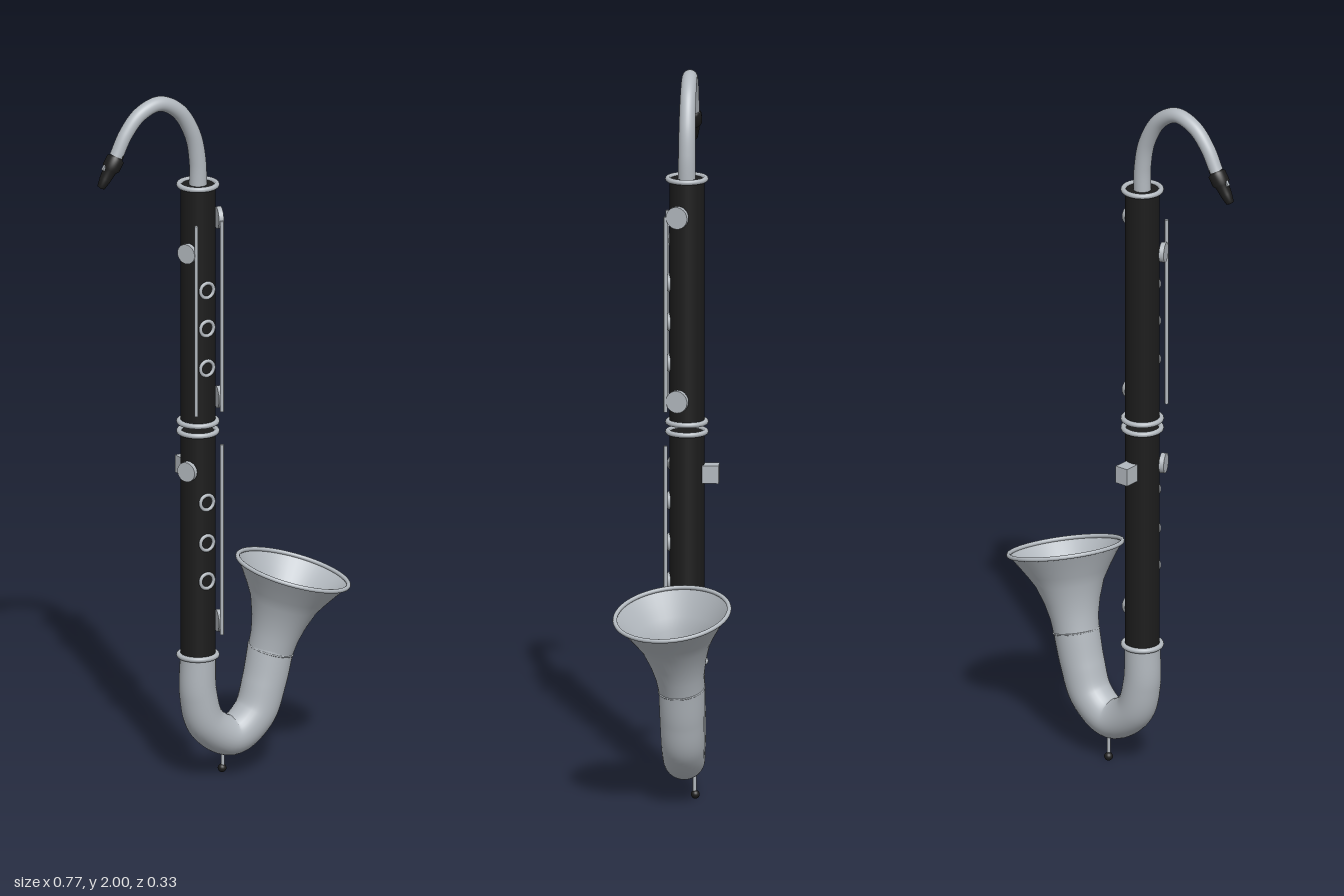
import * as THREE from 'three';

const silver = new THREE.MeshStandardMaterial({ color: 0xb2b8be, side: THREE.DoubleSide });
silver.name = 'silver';
const black = new THREE.MeshStandardMaterial({ color: 0x1c1c1c });
black.name = 'black';

const X = -0.063, Z = -0.023; // axis of the straight body
const UP = new THREE.Vector3(0, 1, 0);

export function createModel() {
  const group = new THREE.Group();

  const add = (name, geometry, material, x = 0, y = 0, z = 0) => {
    const mesh = new THREE.Mesh(geometry, material);
    mesh.name = name;
    mesh.position.set(x, y, z);
    group.add(mesh);
    return mesh;
  };
  const aim = (mesh, dir) => mesh.quaternion.setFromUnitVectors(UP, dir.clone().normalize());
  const lathe = (points) =>
    new THREE.LatheGeometry(points.map(([r, y]) => new THREE.Vector2(r, y)), 48);

  // Tube along a path in the XY plane whose radius changes from r0 to r1
  const taperedTube = (points, r0, r1) => {
    const curve = new THREE.CatmullRomCurve3(points.map(([x, y]) => new THREE.Vector3(x, y, Z)));
    const rings = 64, sides = 32;
    const geometry = new THREE.TubeGeometry(curve, rings, 1, sides);
    const pos = geometry.attributes.position;
    const v = new THREE.Vector3();
    for (let i = 0; i <= rings; i++) {
      const c = curve.getPointAt(i / rings);
      const r = THREE.MathUtils.lerp(r0, r1, i / rings);
      for (let j = 0; j <= sides; j++) {
        const k = i * (sides + 1) + j;
        v.fromBufferAttribute(pos, k).sub(c).multiplyScalar(r).add(c);
        pos.setXYZ(k, v.x, v.y, v.z);
      }
    }
    return geometry;
  };

  // Two body joints, each with a ring at both ends
  for (const [name, y0, y1] of [['lowerJoint', 0.365, 1.012], ['upperJoint', 1.04, 1.724]]) {
    add(name, new THREE.CylinderGeometry(0.048, 0.048, y1 - y0, 40), black, X, (y0 + y1) / 2, Z);
    for (const y of [y0, y1]) {
      add('jointRing', new THREE.TorusGeometry(0.052, 0.0075, 12, 48), silver, X, y, Z)
        .rotation.x = Math.PI / 2;
    }
  }

  // Curved neck
  add('neck', taperedTube([
    [X, 1.70], [-0.064, 1.79], [-0.08, 1.87], [-0.125, 1.945],
    [-0.187, 1.978], [-0.25, 1.958], [-0.295, 1.91], [-0.327, 1.85],
  ], 0.0245, 0.019), silver);

  // Mouthpiece with a small reed plate
  const mouthDir = new THREE.Vector3(-0.535, -0.845, 0);
  aim(add('mouthpiece', lathe([
    [0, 0], [0.018, 0], [0.018, 0.012], [0.025, 0.016], [0.025, 0.045],
    [0.019, 0.052], [0.016, 0.08], [0.011, 0.105], [0, 0.108],
  ]), black, -0.32, 1.857, Z), mouthDir);
  aim(add('reedPlate', new THREE.BoxGeometry(0.009, 0.022, 0.008), silver, -0.363, 1.826, Z), mouthDir);

  // U-shaped bow
  add('bow', taperedTube([
    [X, 0.365], [-0.062, 0.25], [-0.035, 0.162], [0.045, 0.114],
    [0.118, 0.165], [0.15, 0.25], [0.172, 0.345],
  ], 0.049, 0.064), silver);

  // Flared bell, seam ring and rolled rim
  const bellDir = new THREE.Vector3(0.25, 0.965, 0.1).normalize();
  const bellBase = new THREE.Vector3(0.172, 0.34, Z);
  const bell = add('bell', lathe([
    [0.063, 0], [0.067, 0.04], [0.077, 0.083], [0.095, 0.135],
    [0.113, 0.165], [0.136, 0.2], [0.159, 0.232],
  ]), silver);
  bell.position.copy(bellBase);
  aim(bell, bellDir);
  for (const [name, radius, tube, h] of [['bellRim', 0.158, 0.006, 0.232], ['bellSeam', 0.063, 0.0025, 0]]) {
    const ring = add(name, new THREE.TorusGeometry(radius, tube, 12, 64).rotateX(Math.PI / 2), silver);
    ring.position.copy(bellBase).addScaledVector(bellDir, h);
    aim(ring, bellDir);
  }

  // Floor peg
  add('pegRod', new THREE.CylinderGeometry(0.005, 0.005, 0.085, 12), silver, 0.034, 0.06, -0.05);
  add('pegTip', new THREE.SphereGeometry(0.012, 20, 14), black, 0.033, 0.012, -0.052);

  // Finger hole rings on the front
  for (const y of [1.43, 1.32, 1.205, 0.817, 0.70, 0.59]) {
    add('fingerRing', new THREE.TorusGeometry(0.021, 0.005, 10, 28), silver, X, y, Z + 0.048);
  }

  // Round key pads on both sides
  const pad = (x, y, z, r, dir) =>
    aim(add('keyPad', new THREE.CylinderGeometry(r, r, 0.014, 24), silver, x, y, z), dir);
  for (const y of [1.625, 1.107, 0.46]) pad(-0.01, y, 0, 0.031, new THREE.Vector3(0.95, 0, 0.3));
  for (const y of [1.54, 0.91]) pad(-0.115, y, 0.006, 0.028, new THREE.Vector3(-0.9, 0, 0.43));

  // Long key rods
  for (const [x, y] of [[-0.103, 1.35], [-0.02, 1.35], [-0.02, 0.705]]) {
    add('keyRod', new THREE.CylinderGeometry(0.005, 0.005, 0.55, 12), silver, x, y, 0.033);
  }

  // Thumb rest on the back
  add('thumbRest', new THREE.BoxGeometry(0.04, 0.05, 0.046), silver, -0.062, 0.895, -0.089);

  return group;
}
